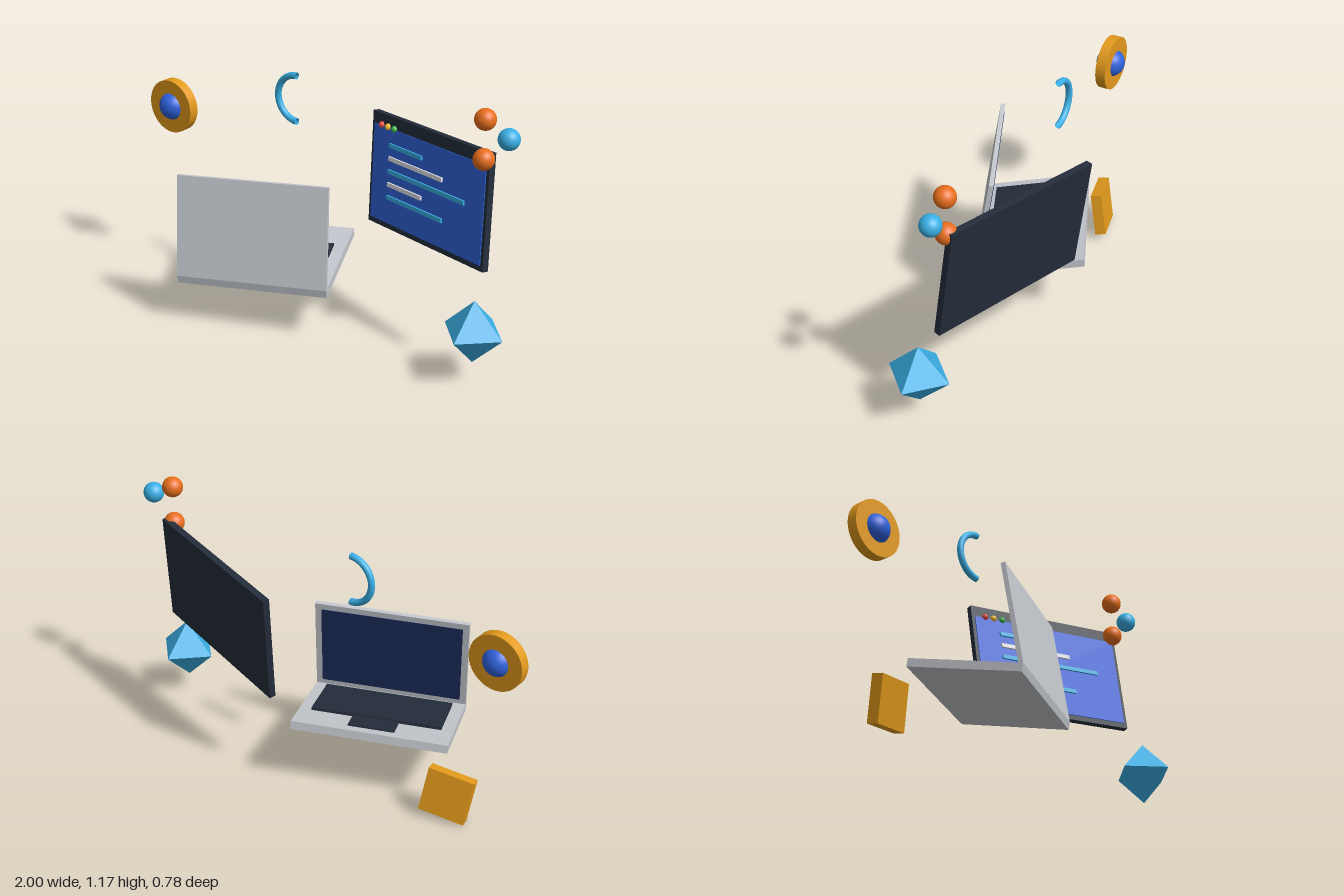
import * as THREE from 'three';

const COLORS = {
  silver: 0xc4c8ce, dark: 0x242d3b, navy: 0x1b2b5c, blue: 0x2f62dd, cyan: 0x3ab0e6,
  orange: 0xe86f1e, gold: 0xe39a1c, white: 0xe4e6ea, red: 0xe8483f, yellow: 0xf2c02e, green: 0x3fb950,
};
const materials = {};
for (const [key, color] of Object.entries(COLORS)) {
  materials[key] = new THREE.MeshStandardMaterial({ color });
}

function add(parent, name, geometry, color, x = 0, y = 0, z = 0) {
  const mesh = new THREE.Mesh(geometry, materials[color]);
  mesh.name = name;
  mesh.position.set(x, y, z);
  parent.add(mesh);
  return mesh;
}

const box = (w, h, d) => new THREE.BoxGeometry(w, h, d);

// Group whose local x axis follows "right" and whose y axis follows "up"
function tiltedGroup(parent, name, position, right, up) {
  const x = new THREE.Vector3(...right).normalize();
  const z = x.clone().cross(new THREE.Vector3(...up)).normalize();
  const y = z.clone().cross(x);
  const group = new THREE.Group();
  group.name = name;
  group.position.set(...position);
  group.quaternion.setFromRotationMatrix(new THREE.Matrix4().makeBasis(x, y, z));
  parent.add(group);
  return group;
}

// Laptop, origin at the lower hinge edge, keyboard towards local +z
function buildLaptop(root) {
  const width = 0.686, depth = 0.493, thick = 0.037;
  const laptop = tiltedGroup(root, 'laptop', [-0.148, 0.206, 0.243],
    [-0.918, -0.026, 0.394], [0.044, 0.989, 0.168]);
  add(laptop, 'laptopBase', box(width, thick, depth), 'silver', 0, thick / 2, depth / 2);
  add(laptop, 'keyboard', box(0.576, 0.014, 0.285), 'dark', 0, thick + 0.006, 0.2);
  add(laptop, 'trackpad', box(0.204, 0.008, 0.115), 'dark', 0, thick + 0.003, 0.39);

  const lid = new THREE.Group();
  lid.name = 'laptopLid';
  lid.position.y = thick;
  lid.rotation.x = 0.33;
  laptop.add(lid);
  add(lid, 'lidShell', box(width, 0.461, 0.02), 'silver', 0, 0.23, 0.01);
  add(lid, 'laptopScreen', box(0.63, 0.4, 0.008), 'navy', 0, 0.232, 0.019);
}

// Floating window with title dots and rows of bars
function buildWindow(root) {
  const panel = tiltedGroup(root, 'floatingWindow', [0.45, 0.698, -0.235],
    [0.765, 0.062, 0.235], [-0.025, 0.505, -0.058]);
  add(panel, 'windowFrame', box(0.804, 0.509, 0.03), 'dark');
  add(panel, 'windowPanel', box(0.77, 0.43, 0.008), 'blue', 0, -0.015, 0.015);

  ['red', 'yellow', 'green'].forEach((color, i) => {
    add(panel, 'windowDot', new THREE.SphereGeometry(0.015, 20, 14), color, -0.332 + i * 0.046, 0.204, 0.018);
  });
  [0.23, 0.375, 0.527, 0.24, 0.387].forEach((length, i) => {
    add(panel, 'textBar', box(length, 0.019, 0.012), i % 2 ? 'white' : 'cyan',
      -0.262 + length / 2, 0.127 - i * 0.059, 0.022);
  });
}

export function createModel() {
  const root = new THREE.Group();
  root.name = 'floatingWorkspace';
  buildLaptop(root);
  buildWindow(root);

  // Gold disc with a blue ball through its centre
  const disc = new THREE.CylinderGeometry(0.125, 0.125, 0.048, 48).rotateX(Math.PI / 2);
  add(root, 'goldDisc', disc, 'gold', -0.875, 0.814, -0.061);
  add(root, 'discBall', new THREE.SphereGeometry(0.066, 32, 24), 'blue', -0.875, 0.814, -0.058);

  // Half ring, open towards +x
  const ring = new THREE.TorusGeometry(0.106, 0.015, 14, 40, Math.PI).rotateZ(Math.PI / 2);
  const arc = add(root, 'halfRing', ring, 'cyan', -0.185, 0.988, -0.12);
  arc.material = materials.cyan.clone();
  arc.material.side = THREE.DoubleSide;

  // Cluster of three balls
  for (const [color, x, y] of [['orange', 0.795, 1.13], ['cyan', 0.91, 1.072], ['orange', 0.795, 0.957]]) {
    add(root, 'clusterBall', new THREE.SphereGeometry(0.046, 32, 24), color, x, y, -0.117);
  }

  // Faceted gem
  add(root, 'octahedron', new THREE.OctahedronGeometry(0.143), 'cyan', 0.855, 0.237, -0.003);

  // Tilted gold tile
  const tile = tiltedGroup(root, 'goldTile', [-0.7, 0.12, -0.118], [0.2, 0.032, -0.05], [-0.02, 0.2, 0.04]);
  add(tile, 'tileBlock', box(0.206, 0.203, 0.05), 'gold');

  return root;
}
